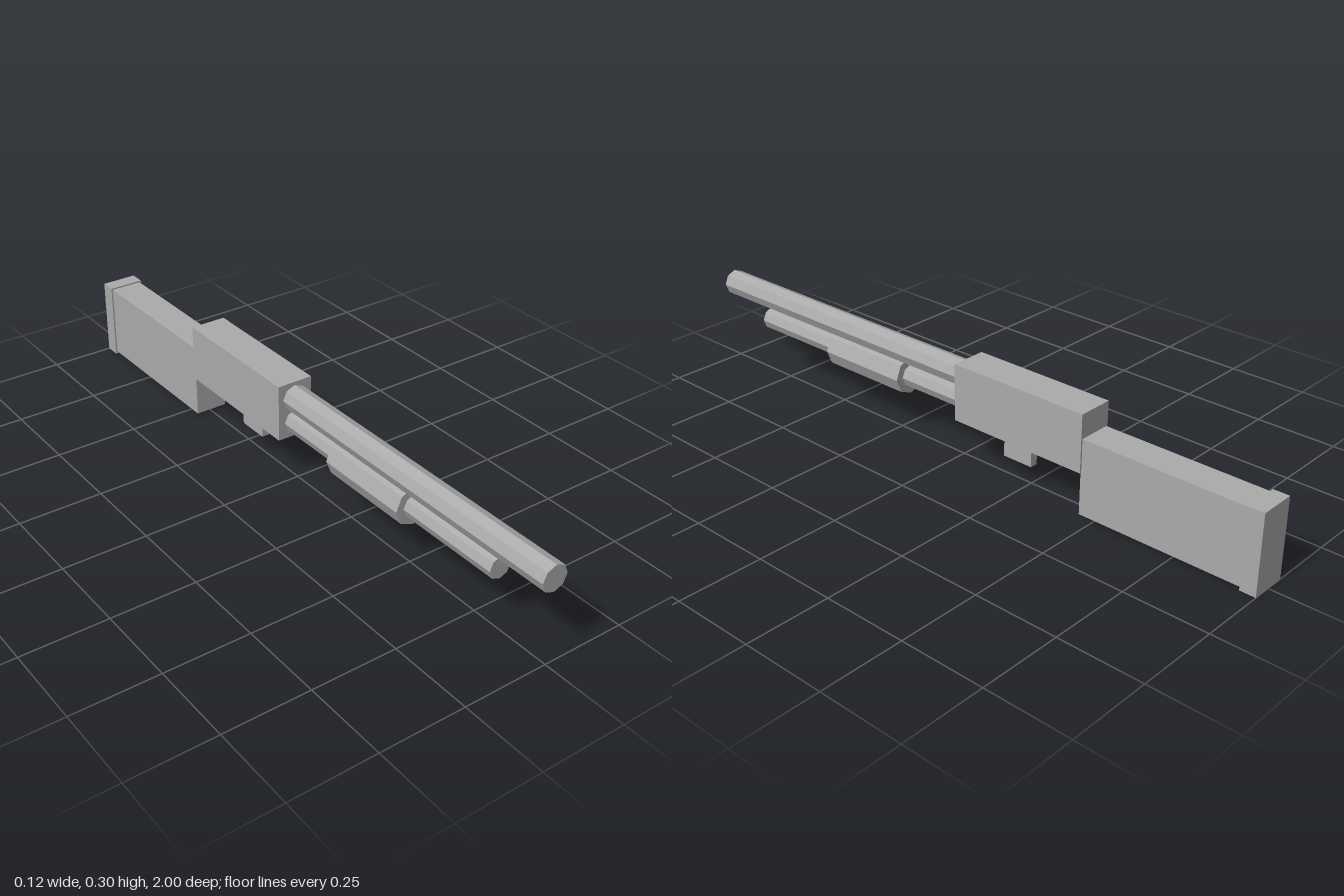
import * as THREE from 'three';

export function createModel() {
  const group = new THREE.Group();
  const grey = new THREE.MeshStandardMaterial({ color: 0xaaaaaa, flatShading: true });
  grey.name = 'grey';

  function add(name, geometry, y, z) {
    const mesh = new THREE.Mesh(geometry, grey);
    mesh.name = name;
    mesh.position.set(0, y, z);
    group.add(mesh);
  }

  // Block centred on x, given its width and its y and z ranges
  function block(name, width, y0, y1, z0, z1) {
    add(name, new THREE.BoxGeometry(width, y1 - y0, z1 - z0), (y0 + y1) / 2, (z0 + z1) / 2);
  }

  // Eight-sided rod along z with corners at top, bottom and sides
  function rod(name, radius, y, z0, z1) {
    const geometry = new THREE.CylinderGeometry(radius, radius, z1 - z0, 8).rotateX(Math.PI / 2);
    add(name, geometry, y, (z0 + z1) / 2);
  }

  // Body and stock
  block('receiver', 0.109, 0.132, 0.303, -0.457, -0.014);
  block('stock', 0.099, 0.007, 0.231, -0.955, -0.455);
  block('buttPlate', 0.109, 0, 0.236, -1, -0.953);
  block('trigger', 0.024, 0.057, 0.134, -0.257, -0.16);

  // Barrel, lower tube and sliding grip
  rod('barrel', 0.039, 0.254, -0.02, 1);
  rod('lowerTube', 0.034, 0.18, -0.02, 0.826);
  rod('slideGrip', 0.058, 0.18, 0.21, 0.505);

  return group;
}
